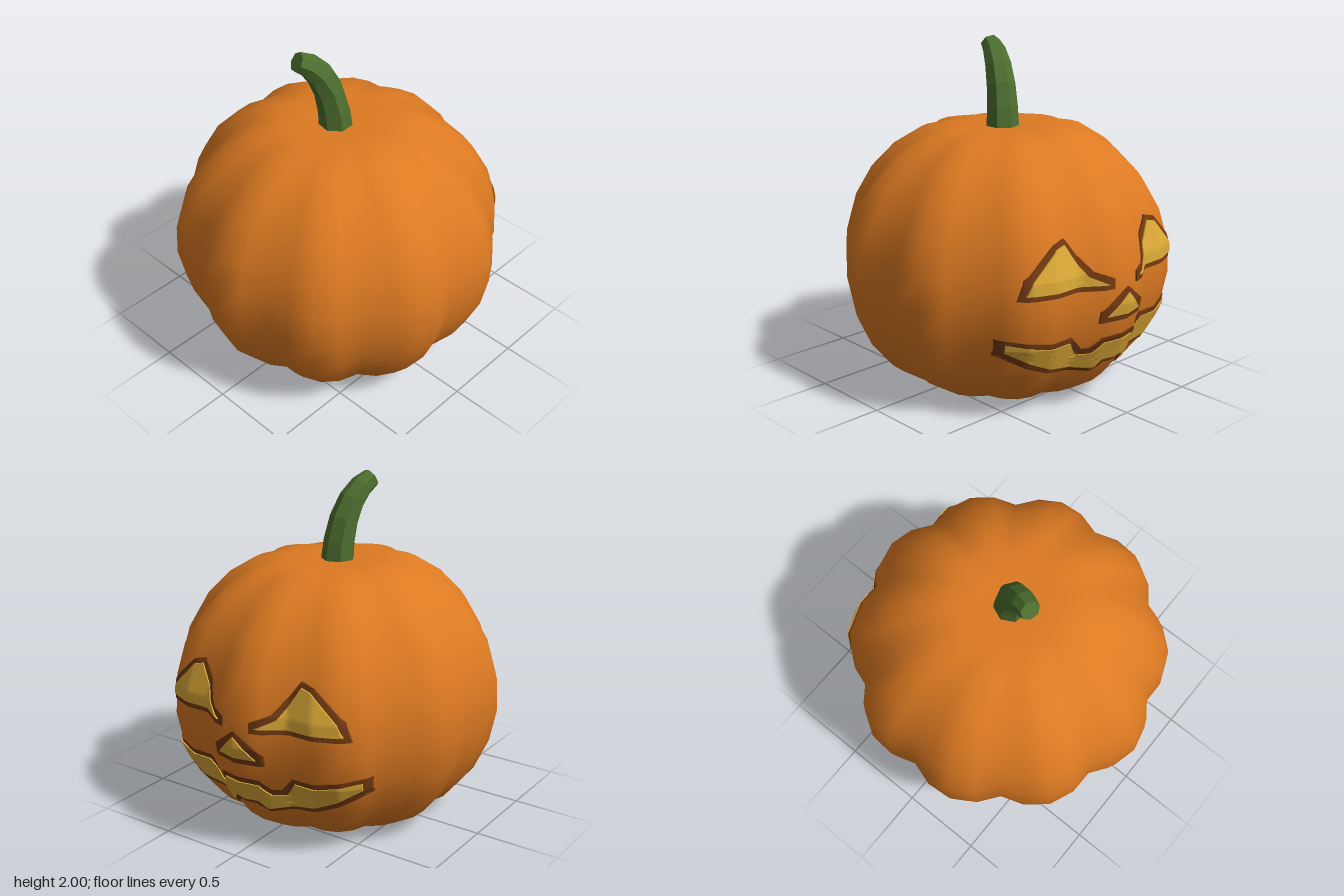
import * as THREE from 'three';
import { mergeGeometries, mergeVertices } from 'three/addons/utils/BufferGeometryUtils.js';

const material = (name, color, extra = {}) => Object.assign(new THREE.MeshStandardMaterial({ color, ...extra }), { name });

// Body profile [radius at a rib crest, height], bottom to top
const PROFILE = [[0, 0], [0.5, 0], [0.56, 0.003], [0.73, 0.11], [0.86, 0.27], [0.945, 0.46], [0.985, 0.66], [0.975, 0.85],
  [0.92, 1.04], [0.815, 1.22], [0.67, 1.37], [0.5, 1.475], [0.34, 1.507], [0.18, 1.503], [0, 1.495]];
const SIDES = 40;
const STEP = (Math.PI * 2) / SIDES;

// Ten rounded ribs with sharp valleys between them
const rib = (a) => (0.902 + 0.083 * Math.abs(Math.cos(5 * a))) / 0.985;

function bodyGeometry() {
  const pos = [], index = [];
  PROFILE.forEach(([r, y], j) => {
    for (let i = 0; i < SIDES; i++) {
      const a = i * STEP, s = r * rib(a);
      pos.push(s * Math.cos(a), y, s * Math.sin(a));
      if (j === 0) continue;
      const k = (i + 1) % SIDES;
      const p = (j - 1) * SIDES + i, q = (j - 1) * SIDES + k, t = j * SIDES + i, u = j * SIDES + k;
      if (j > 1) index.push(p, t, q);
      if (j < PROFILE.length - 1 || j === 1) index.push(q, t, u);
    }
  });
  const g = new THREE.BufferGeometry();
  g.setAttribute('position', new THREE.Float32BufferAttribute(pos, 3));
  g.setIndex(index);
  const merged = mergeVertices(g, 1e-5);
  merged.computeVertexNormals();
  return merged;
}

// x of the faceted body surface on the carved side, at a given y and z
function surfaceX(y, z) {
  let j = 2;
  while (PROFILE[j + 1][1] < y) j++;
  const [r0, y0] = PROFILE[j], [r1, y1] = PROFILE[j + 1];
  const R = r0 + ((r1 - r0) * (y - y0)) / (y1 - y0);
  let x = 0.8;
  for (let n = 0; n < 40; n++) {
    const a = Math.atan2(z, x), a0 = Math.floor(a / STEP) * STEP, a1 = a0 + STEP;
    const f0 = rib(a0), f1 = rib(a1);
    const f = (f0 * f1 * Math.sin(STEP)) / (f0 * Math.sin(a - a0) + f1 * Math.sin(a1 - a));
    x = Math.sqrt(Math.max(0.01, (R * f) ** 2 - z * z));
  }
  return x;
}

// Thin plate wrapped over the body; outline points are [z, y]
function plateGeometry(points, lift) {
  const outline = points.map(([z, y]) => new THREE.Vector2(-z, y));
  if (THREE.ShapeUtils.isClockWise(outline)) outline.reverse();
  let tris = THREE.ShapeUtils.triangulateShape(outline, []).map((t) => t.map((i) => outline[i]));
  const mid = (a, b) => a.clone().add(b).multiplyScalar(0.5);
  for (let n = 0; n < 4; n++) {
    tris = tris.flatMap(([a, b, c]) => {
      const ab = mid(a, b), bc = mid(b, c), ca = mid(c, a);
      return [[a, ab, ca], [ab, b, bc], [ca, bc, c], [ab, bc, ca]];
    });
  }
  const place = (p, d) => [surfaceX(p.y, -p.x) + d, p.y, -p.x];
  const make = (pos) => {
    const g = new THREE.BufferGeometry();
    g.setAttribute('position', new THREE.Float32BufferAttribute(pos, 3));
    const m = mergeVertices(g, 1e-5);
    m.computeVertexNormals();
    return m;
  };
  const face = make(tris.flatMap((t) => t.flatMap((p) => place(p, lift))));
  // Rim walls, one strip per outline edge
  const walls = outline.map((p, i) => {
    const q = outline[(i + 1) % outline.length], pos = [];
    for (let n = 0; n < 16; n++) {
      const s = p.clone().lerp(q, n / 16), e = p.clone().lerp(q, (n + 1) / 16);
      const a = place(s, lift), b = place(e, lift), c = place(s, -0.01), d = place(e, -0.01);
      pos.push(...c, ...d, ...b, ...c, ...b, ...a);
    }
    return make(pos);
  });
  return mergeGeometries([face, ...walls]);
}

// Seven-sided tapering stem swept along a bent path
function stemGeometry() {
  const path = [[-0.015, 1.47, 0, 0.1], [-0.025, 1.6, -0.007, 0.094], [-0.052, 1.73, -0.022, 0.087],
    [-0.1, 1.84, -0.045, 0.079], [-0.16, 1.914, -0.072, 0.069], [-0.222, 1.953, -0.097, 0.058]];
  const centers = path.map(([x, y, z]) => new THREE.Vector3(x, y, z));
  const up = new THREE.Vector3(0, 1, 0);
  const rings = path.map((p, j) => {
    const t = centers[Math.min(j + 1, 5)].clone().sub(centers[Math.max(j - 1, 0)]).normalize();
    const q = new THREE.Quaternion().setFromUnitVectors(up, t);
    return Array.from({ length: 7 }, (_, i) => {
      const a = 0.17 + (i * Math.PI * 2) / 7;
      return new THREE.Vector3(Math.cos(a), 0, Math.sin(a)).multiplyScalar(p[3]).applyQuaternion(q).add(centers[j]);
    });
  });
  const pts = [];
  for (let i = 0; i < 7; i++) {
    const k = (i + 1) % 7;
    for (let j = 0; j < 5; j++) {
      const a = rings[j][i], b = rings[j][k], c = rings[j + 1][i], d = rings[j + 1][k];
      pts.push(a, c, b, b, c, d);
    }
    pts.push(rings[5][i], centers[5], rings[5][k]);
  }
  const g = new THREE.BufferGeometry().setFromPoints(pts);
  g.computeVertexNormals();
  return g;
}

const flip = (pts) => pts.map(([z, y]) => [-z, y]);
const symmetric = (half) => [...half, ...flip(half).reverse().filter(([z]) => z !== 0)];

export function createModel() {
  const group = new THREE.Group();
  group.name = 'carvedPumpkin';
  const orange = material('pumpkinOrange', 0xdd7a22);
  const brown = material('carvedBrown', 0x743a12);
  const yellow = material('glowYellow', 0xdfac38);
  const green = material('stemGreen', 0x4e6f2f, { flatShading: true });
  const add = (name, geometry, mat) => {
    const mesh = new THREE.Mesh(geometry, mat);
    mesh.name = name;
    group.add(mesh);
  };

  add('body', bodyGeometry(), orange);
  add('stem', stemGeometry(), green);

  // Eyes, mirrored across z
  const eyeRim = [[0.62, 0.755], [0.59, 0.87], [0.41, 1.035], [0.33, 1.055], [0.2, 0.865], [0.09, 0.815], [0.09, 0.755]];
  const eyeGlow = [[0.59, 0.785], [0.56, 0.855], [0.4, 1.01], [0.34, 1.025], [0.23, 0.84], [0.125, 0.785]];
  add('eyeRimA', plateGeometry(eyeRim, 0.01), brown);
  add('eyeRimB', plateGeometry(flip(eyeRim), 0.01), brown);
  add('eyeGlowA', plateGeometry(eyeGlow, 0.018), yellow);
  add('eyeGlowB', plateGeometry(flip(eyeGlow), 0.018), yellow);

  // Nose
  add('noseRim', plateGeometry([[0.165, 0.56], [0.165, 0.63], [0, 0.755], [-0.165, 0.63], [-0.165, 0.56]], 0.01), brown);
  add('noseGlow', plateGeometry([[0.125, 0.595], [0, 0.72], [-0.125, 0.595]], 0.018), yellow);

  // Mouth with notched teeth
  const mouthRim = symmetric([[0, 0.47], [0.13, 0.465], [0.175, 0.405], [0.215, 0.4], [0.285, 0.485], [0.43, 0.485],
    [0.675, 0.525], [0.66, 0.42], [0.53, 0.34], [0.4, 0.285], [0.11, 0.23], [0.06, 0.285]]);
  const mouthGlow = symmetric([[0, 0.435], [0.115, 0.43], [0.165, 0.365], [0.235, 0.365], [0.3, 0.455], [0.44, 0.455],
    [0.645, 0.495], [0.64, 0.445], [0.52, 0.37], [0.4, 0.315], [0.12, 0.255], [0.08, 0.31]]);
  add('mouthRim', plateGeometry(mouthRim, 0.01), brown);
  add('mouthGlow', plateGeometry(mouthGlow, 0.018), yellow);
  return group;
}
